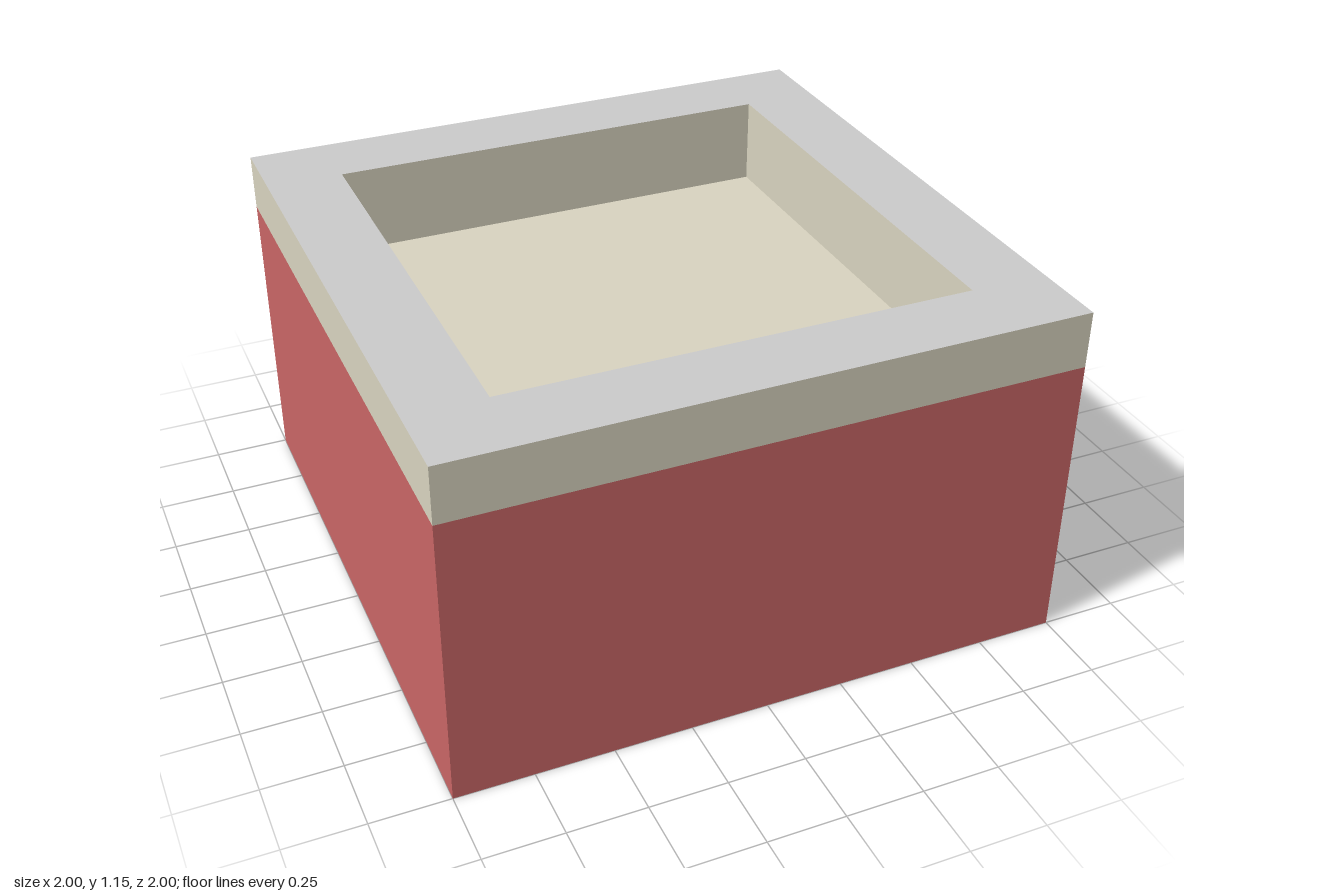
import * as THREE from 'three';

const WALL_TOP = 0.963, ROOF_TOP = 1.147, BASIN_FLOOR = 0.86, INNER = 0.75;

const material = (color) => new THREE.MeshStandardMaterial({ color, side: THREE.DoubleSide, flatShading: true });

// Rectangle as a Shape or a hole
function rect(PathType, x0, y0, x1, y1) {
  const p = new PathType();
  p.moveTo(x0, y0);
  p.lineTo(x1, y0);
  p.lineTo(x1, y1);
  p.lineTo(x0, y1);
  p.closePath();
  return p;
}

export function createModel() {
  const model = new THREE.Group();
  const red = material(0xc96666);
  const beige = material(0xd9d4c0);
  const grey = material(0xcccccc);

  function add(name, geometry, mat) {
    const mesh = new THREE.Mesh(geometry, mat);
    mesh.name = name;
    model.add(mesh);
    return mesh;
  }

  // Thin upright panel at distance r from the centre, turned to face one side
  function upright(name, shape, r, angle, mat) {
    const geometry = new THREE.ShapeGeometry(shape);
    geometry.translate(0, 0, r).rotateY(angle);
    return add(name, geometry, mat);
  }

  // Thin level panel, facing up
  function level(name, shape, y, mat) {
    const geometry = new THREE.ShapeGeometry(shape);
    geometry.rotateX(-Math.PI / 2).translate(0, y, 0);
    return add(name, geometry, mat);
  }

  const square = (h) => rect(THREE.Shape, -h, -h, h, h);

  // Four sides: wall, roof band and the sunken roof's inner wall
  ['front', 'left', 'back', 'right'].forEach((side, i) => {
    const angle = i * Math.PI / 2;
    const wall = rect(THREE.Shape, -1, 0, 1, WALL_TOP);
    if (side === 'back') {
      // Three window openings
      for (const x of [-0.64, 0, 0.64]) {
        wall.holes.push(rect(THREE.Path, x - 0.165, 0.17, x + 0.165, 0.74));
      }
    }
    upright(side + 'Wall', wall, 1, angle, red);
    upright(side + 'RoofBand', rect(THREE.Shape, -1, WALL_TOP, 1, ROOF_TOP), 1, angle, beige);
    upright(side + 'BasinWall', rect(THREE.Shape, -INNER, BASIN_FLOOR, INNER, ROOF_TOP), INNER, angle, beige);
  });

  // Grey rim on top and the ceiling ring beneath it
  for (const [name, y] of [['roofRim', ROOF_TOP], ['ceilingRing', WALL_TOP]]) {
    const ring = square(1);
    ring.holes.push(rect(THREE.Path, -INNER, -INNER, INNER, INNER));
    level(name, ring, y, grey);
  }

  // Room floor, sunken roof floor and the small panel under it
  level('floor', square(1), 0, beige);
  level('basinFloor', square(INNER), BASIN_FLOOR, beige);
  level('ceilingPanel', square(0.12), BASIN_FLOOR - 0.004, beige);

  return model;
}
